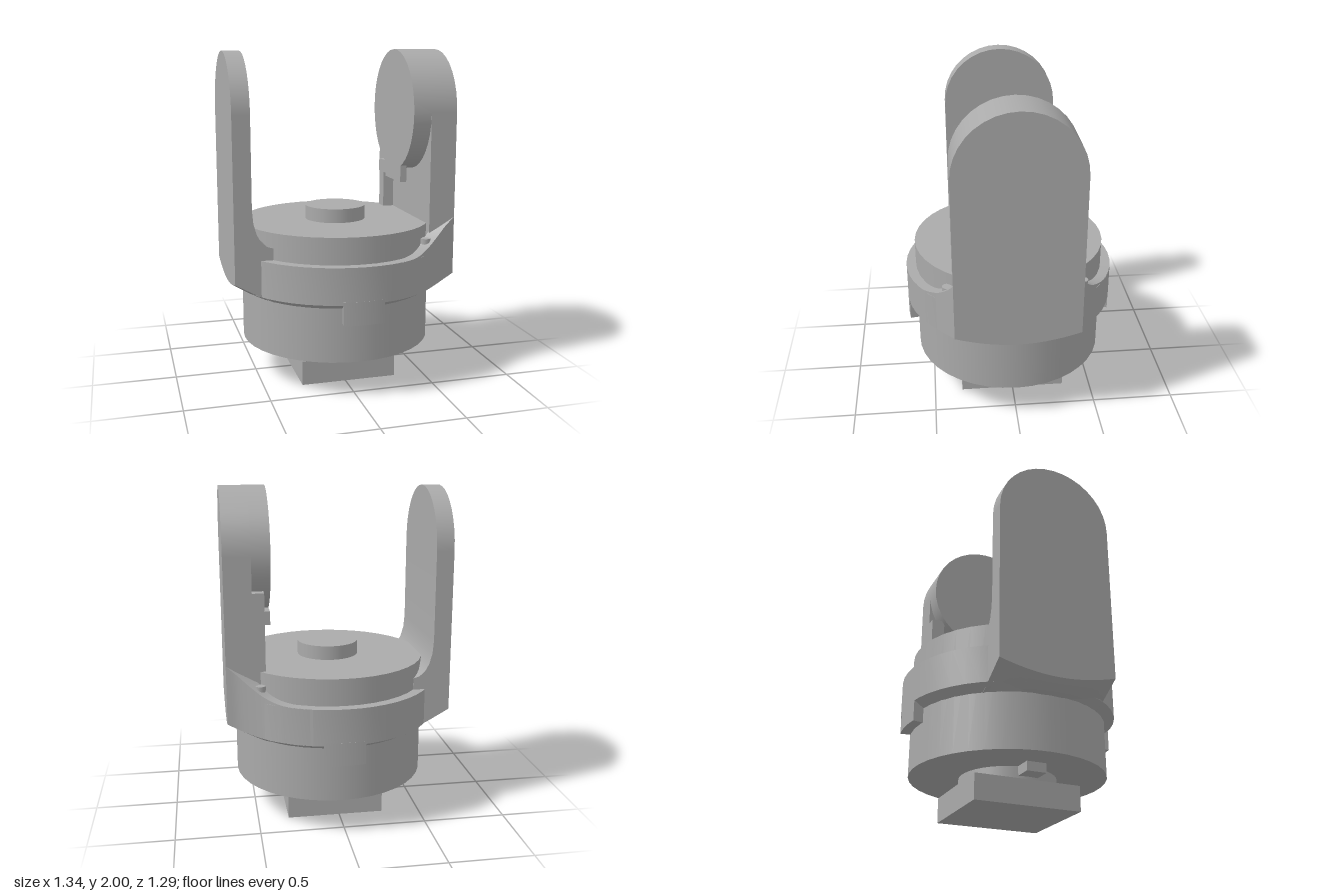
import * as THREE from 'three';
import { toCreasedNormals } from 'three/addons/utils/BufferGeometryUtils.js';

const CX = 0.02; // axis of all the turned parts
// underside of the arms and ring lies on one shallow cone
const coneY = (x, z) => 0.585 + 0.64 * (Math.max(Math.hypot(x - CX, z), 0.58) - 0.65);

export function createModel() {
  const group = new THREE.Group();
  const steel = new THREE.MeshStandardMaterial({ color: 0xaaaaaa });
  steel.name = 'grey';

  const add = (name, geometry) => {
    const mesh = new THREE.Mesh(geometry, steel);
    mesh.name = name;
    group.add(mesh);
    return mesh;
  };
  const box = (name, x0, x1, y0, y1, z0, z1) =>
    add(name, new THREE.BoxGeometry(x1 - x0, y1 - y0, z1 - z0))
      .position.set((x0 + x1) / 2, (y0 + y1) / 2, (z0 + z1) / 2);
  const turned = (name, r, y0, y1, x = CX, z = 0, sides = 40) =>
    add(name, new THREE.CylinderGeometry(r, r, y1 - y0, sides)).position.set(x, (y0 + y1) / 2, z);
  // disc with its axis along x, or only its upper half
  const disc = (name, r, x0, x1, y, half) => {
    const g = new THREE.CylinderGeometry(r, r, x1 - x0, half ? 18 : 36, 1, false,
      Math.PI, half ? Math.PI : Math.PI * 2);
    g.rotateZ(-Math.PI / 2);
    add(name, g).position.set((x0 + x1) / 2, y, 0);
  };
  // profile in x-y, drawn out along z, with its foot cut by the cone
  const armBlock = (name, points, halfWidth) => {
    const shape = new THREE.Shape(points.map(p => new THREE.Vector2(...p)));
    const g = new THREE.ExtrudeGeometry(shape, { depth: halfWidth * 2, steps: 14, bevelEnabled: false });
    g.translate(0, 0, -halfWidth);
    const p = g.attributes.position;
    for (let i = 0; i < p.count; i++) {
      if (p.getY(i) < 0.7) p.setY(i, coneY(p.getX(i), p.getZ(i)));
    }
    add(name, toCreasedNormals(g, 0.6));
  };

  // square foot, neck and stop
  box('footBlock', -0.27, 0.315, 0, 0.15, -0.325, 0.325);
  turned('neck', 0.29, 0.15, 0.23);
  box('neckStop', -0.375, -0.22, 0.165, 0.225, -0.06, 0.06);

  // hub and top pin
  turned('hub', 0.585, 0.22, 0.96);
  turned('topPin', 0.187, 0.95, 1.045, 0.022);

  // collar ring with a bevelled underside
  const ringProfile = [[0.57, 0.538], [0.645, 0.582], [0.645, 0.8], [0.57, 0.8]]
    .map(p => new THREE.Vector2(...p));
  add('collar', toCreasedNormals(new THREE.LatheGeometry(ringProfile, 48), 0.5)).position.x = CX;

  // curved lugs hanging from the collar, front and back
  for (const side of [1, -1]) {
    const mid = side * Math.PI / 2, half = 0.191;
    const s = new THREE.Shape();
    s.absarc(0, 0, 0.645, mid - half, mid + half, false);
    s.absarc(0, 0, 0.57, mid + half, mid - half, true);
    const g = new THREE.ExtrudeGeometry(s, { depth: 0.14, bevelEnabled: false, curveSegments: 8 });
    g.rotateX(-Math.PI / 2);
    add(side > 0 ? 'backLug' : 'frontLug', toCreasedNormals(g, 0.5)).position.set(CX, 0.46, 0);
  }

  // thin arm with a fillet at its base
  armBlock('thinArm', [
    [-0.67, 0.6], [-0.56, 0.6], [-0.445, 0.6], [-0.445, 0.87], [-0.48, 0.88], [-0.515, 0.91],
    [-0.54, 0.955], [-0.558, 1.02], [-0.565, 1.1], [-0.565, 1.635], [-0.67, 1.635],
  ], 0.355);
  disc('thinArmTop', 0.355, -0.67, -0.565, 1.635, true);

  // thick arm with an inward round boss
  armBlock('thickArm', [
    [0.51, 0.6], [0.59, 0.6], [0.67, 0.6], [0.67, 1.63], [0.51, 1.63],
  ], 0.37);
  disc('thickArmTop', 0.37, 0.51, 0.67, 1.63, true);
  disc('boss', 0.37, 0.4, 0.511, 1.63, false);
  box('bossTail', 0.4, 0.44, 1.19, 1.32, -0.13, 0.15);
  box('bossTab', 0.4, 0.44, 1.21, 1.29, -0.26, -0.13);
  box('armRib', 0.44, 0.515, 0.8, 1.42, -0.37, -0.285);

  // flares sweeping from the collar up to the thick arm: x, top height, z
  const path = new THREE.CatmullRomCurve3([
    [0.2, 0.8, 0.62], [0.36, 0.805, 0.548], [0.46, 0.835, 0.47],
    [0.54, 0.89, 0.42], [0.61, 0.95, 0.385], [0.67, 1.0, 0.37],
  ].map(p => new THREE.Vector3(...p)));
  const steps = 20;
  for (const side of [1, -1]) {
    const verts = [], index = [];
    path.getPoints(steps).forEach((p, i) => {
      const x = p.x, z = p.z * side;
      const ix = x + (CX - x) * 0.11, iz = z * 0.89;
      verts.push(x, coneY(x, z), z, x, p.y, z, ix, p.y, iz, ix, coneY(ix, iz), iz);
      if (i === steps) return;
      for (let k = 0; k < 4; k++) {
        const a = i * 4 + k, b = i * 4 + (k + 1) % 4, c = a + 4, d = b + 4;
        if (side > 0) index.push(a, c, d, a, d, b);
        else index.push(a, d, c, a, b, d);
      }
    });
    const g = new THREE.BufferGeometry();
    g.setAttribute('position', new THREE.Float32BufferAttribute(verts, 3));
    g.setIndex(index);
    add(side > 0 ? 'frontFlare' : 'backFlare', toCreasedNormals(g, 0.6));
    turned(side > 0 ? 'frontBead' : 'backBead', 0.03, 0.8, 0.885, 0.475, side * 0.4, 12);
  }
  return group;
}
